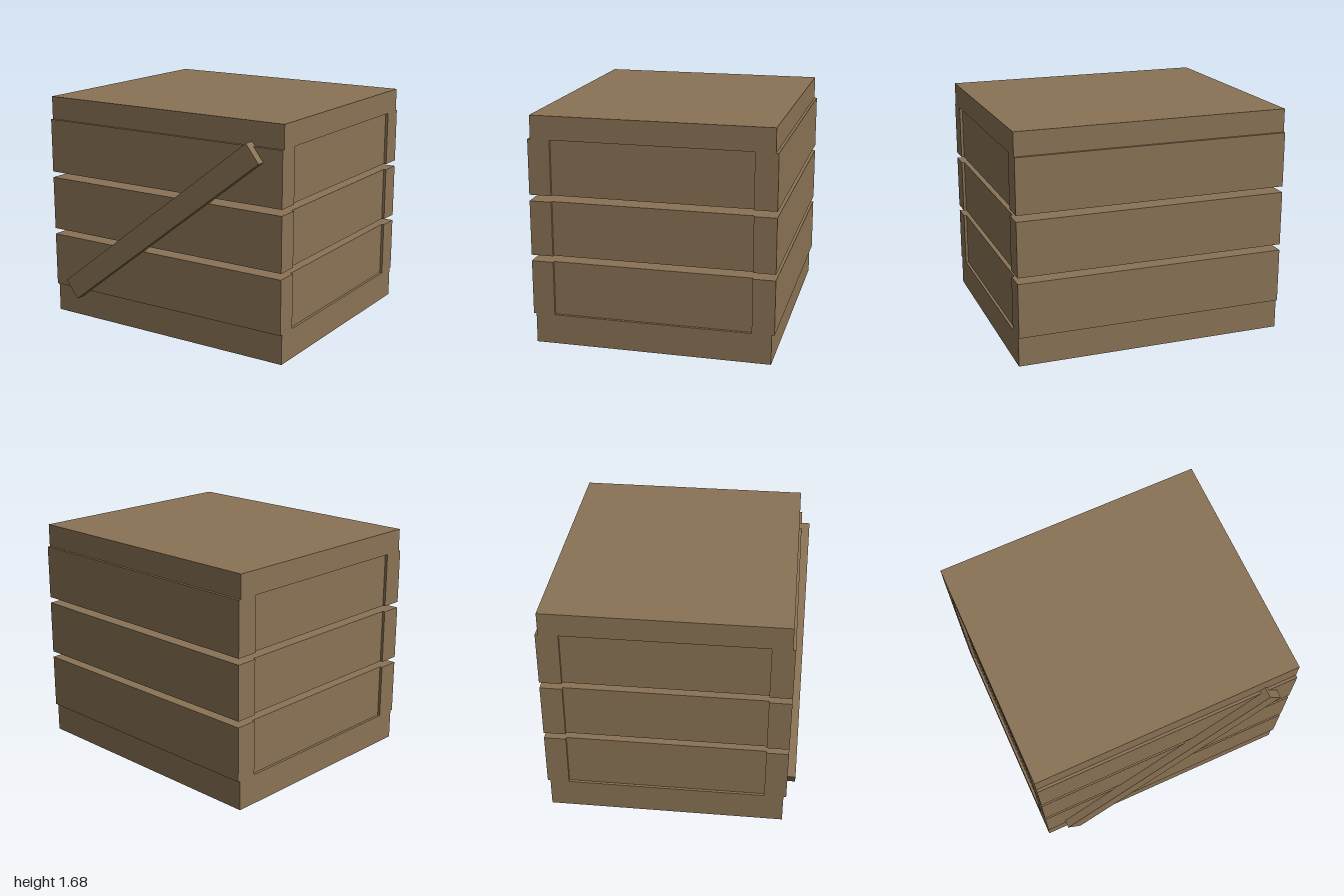
import * as THREE from 'three';

export function createModel() {
  const crate = new THREE.Group();
  crate.name = 'crate';
  const wood = new THREE.MeshStandardMaterial({ color: 0x8b7355 });
  wood.name = 'wood';

  // Box given by its lower and upper corners
  function board(name, x0, x1, y0, y1, z0, z1) {
    const mesh = new THREE.Mesh(new THREE.BoxGeometry(x1 - x0, y1 - y0, z1 - z0), wood);
    mesh.name = name;
    mesh.position.set((x0 + x1) / 2, (y0 + y1) / 2, (z0 + z1) / 2);
    crate.add(mesh);
    return mesh;
  }

  // Base and lid
  board('base', -1, 1, 0, 0.22, -0.89, 0.83);
  board('lid', -1, 1, 1.51, 1.68, -0.89, 0.83);

  // Three rows of planks with open gaps between them
  for (let row = 0; row < 3; row++) {
    const y0 = 0.22 + row * 0.445;
    const y1 = y0 + 0.4;
    board('frontPlank', -1, 1, y0, y1, 0.69, 0.85);
    board('backPlank', -1, 1, y0, y1, -0.91, -0.75);
    // Side planks sit slightly inside the ends of the front and back planks
    board('rightPlank', -0.98, -0.82, y0, y1, -0.75, 0.69);
    board('leftPlank', 0.82, 0.98, y0, y1, -0.75, 0.69);
  }

  // Diagonal brace across the front
  const brace = board('brace', -1.017, 1.017, 0.768, 0.932, 0.83, 0.91);
  brace.rotation.z = Math.atan2(1.25, 1.605);

  return crate;
}
